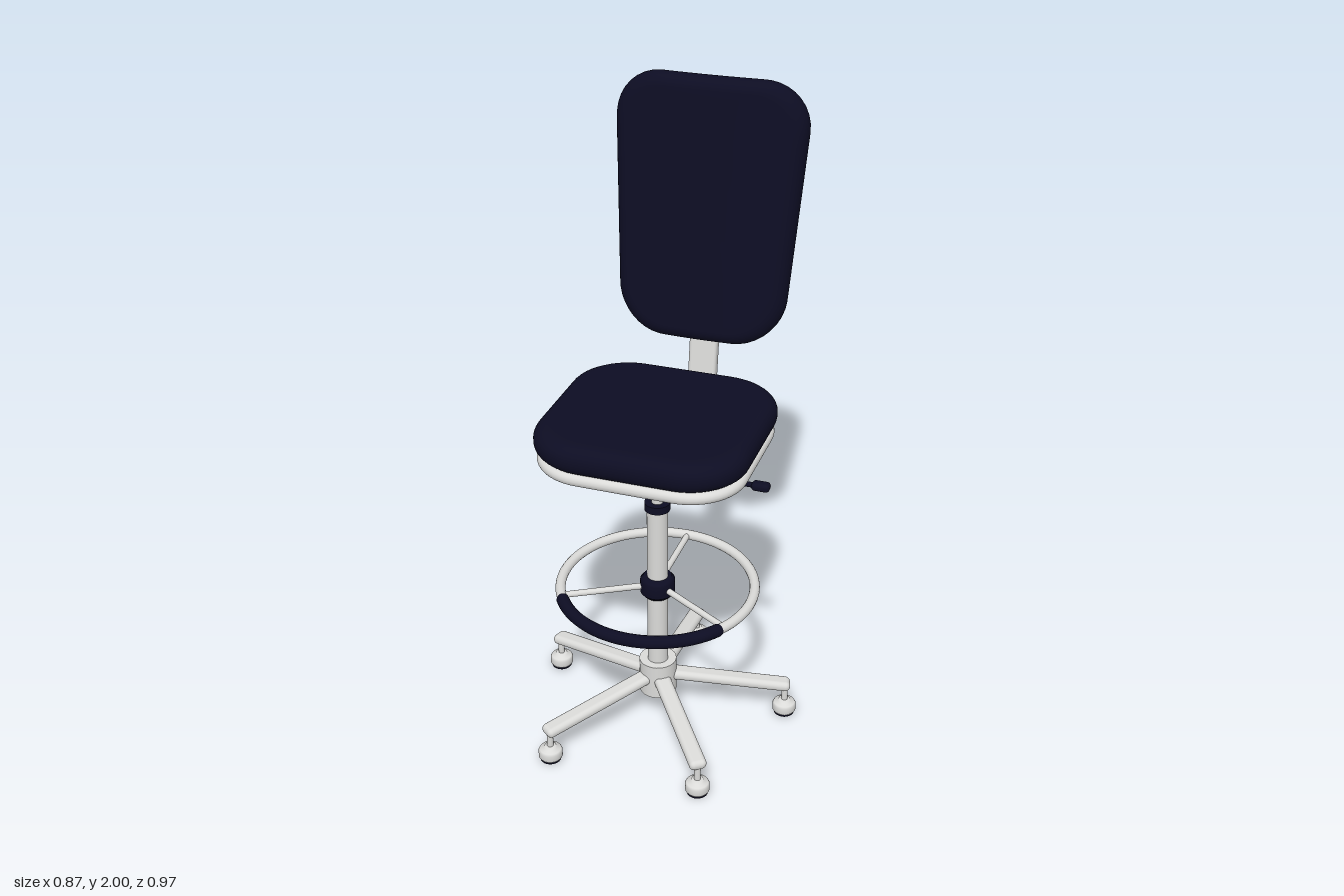
import * as THREE from 'three';
import { RoundedBoxGeometry } from 'three/addons/geometries/RoundedBoxGeometry.js';

const shellMat = new THREE.MeshStandardMaterial({ color: 0xdadad8 });
shellMat.name = 'light grey';
const navyMat = new THREE.MeshStandardMaterial({ color: 0x0d0d23 });
navyMat.name = 'dark navy';

const AXIS_Z = 0.12; // the column stands slightly forward of centre
const TILT = 0.133;  // backrest lean

function add(parent, name, geometry, material, x = 0, y = 0, z = 0) {
  const mesh = new THREE.Mesh(geometry, material);
  mesh.name = name;
  mesh.position.set(x, y, z);
  parent.add(mesh);
  return mesh;
}

// Turned part from [radius, y] pairs, bottom to top, with crisp edges
function turned(pairs) {
  const pts = pairs.map(([r, y]) => new THREE.Vector2(r, y));
  return new THREE.LatheGeometry(pts, 32);
}

// Closed outline of a trapezoid with rounded corners, counter-clockwise
function outline(topHalf, bottomHalf, halfHeight, radius) {
  const corners = [[bottomHalf, -halfHeight], [topHalf, halfHeight], [-topHalf, halfHeight], [-bottomHalf, -halfHeight]]
    .map(([x, y]) => new THREE.Vector2(x, y));
  const shape = new THREE.Shape();
  corners.forEach((c, i) => {
    const toward = (other, d) => other.clone().sub(c).setLength(d).add(c);
    const prev = corners[(i + 3) % 4], next = corners[(i + 1) % 4];
    const a = toward(prev, radius), b = toward(next, radius);
    const ca = toward(prev, radius * 0.45), cb = toward(next, radius * 0.45);
    if (i === 0) shape.moveTo(a.x, a.y); else shape.lineTo(a.x, a.y);
    shape.bezierCurveTo(ca.x, ca.y, cb.x, cb.y, b.x, b.y);
  });
  shape.closePath();
  return shape.getSpacedPoints(96).slice(0, -1);
}

// Padded slab: rings of the outline from the back centre, round the rim, to the front centre
function pad(points, thickness, bevel, bend = 0) {
  const hx = Math.max(...points.map(p => p.x)), hy = Math.max(...points.map(p => p.y));
  const rings = [], steps = 7, half = thickness / 2;
  const inner = [0, 0.2, 0.4, 0.6, 0.8, 0.95];
  inner.forEach(s => rings.push([s, bevel, -half]));
  for (let i = 0; i <= steps; i++) {
    const a = (i / steps) * Math.PI / 2;
    rings.push([1, bevel * (1 - Math.sin(a)), -half + bevel * (1 - Math.cos(a))]);
  }
  const front = rings.map(([s, d, h]) => [s, d, -h]).reverse();
  const all = rings.concat(front);
  const n = points.length, pos = [], index = [];
  all.forEach(([s, d, h], i) => points.forEach((p, j) => {
    const x = p.x * s * (1 - d / hx), y = p.y * s * (1 - d / hy);
    pos.push(x, y, h - bend * x * x);
    if (i === all.length - 1) return;
    const a = i * n + j, b = i * n + (j + 1) % n;
    index.push(a, b, b + n, a, b + n, a + n);
  }));
  const g = new THREE.BufferGeometry();
  g.setAttribute('position', new THREE.Float32BufferAttribute(pos, 3));
  g.setIndex(index);
  g.computeVertexNormals();
  return g;
}

function rod(radius, length) {
  return new THREE.CylinderGeometry(radius, radius, length, 24);
}

function makeBase() {
  const base = new THREE.Group();
  base.name = 'base';
  add(base, 'hub', rod(0.06, 0.12), shellMat, 0, 0.16, 0);
  const legGeo = new RoundedBoxGeometry(0.055, 0.034, 0.4, 4, 0.016);
  const stemGeo = rod(0.01, 0.07);
  const footGeo = turned([[0, 0.012], [0.034, 0.012], [0.038, 0.018], [0.038, 0.038], [0.034, 0.045], [0.02, 0.049], [0.018, 0.056], [0, 0.056]]);
  const glideGeo = turned([[0, 0], [0.027, 0], [0.033, 0.005], [0.034, 0.014], [0, 0.014]]);
  for (let i = 0; i < 5; i++) {
    const spoke = new THREE.Group();
    spoke.name = 'leg' + (i + 1);
    spoke.rotation.y = (36 + 72 * i) * Math.PI / 180;
    add(spoke, 'legBar', legGeo, shellMat, 0, 0.138, 0.233).rotation.x = 0.125;
    add(spoke, 'footStem', stemGeo, shellMat, 0, 0.08, 0.415);
    add(spoke, 'foot', footGeo, shellMat, 0, 0, 0.415);
    add(spoke, 'footGlide', glideGeo, navyMat, 0, 0, 0.415);
    base.add(spoke);
  }
  return base;
}

function makeFootRing() {
  const ring = new THREE.Group();
  ring.name = 'footRing';
  const R = 0.306, start = 35 * Math.PI / 180, arc = 110 * Math.PI / 180;
  add(ring, 'ring', new THREE.TorusGeometry(R, 0.016, 14, 72).rotateX(Math.PI / 2), shellMat);
  add(ring, 'ringGrip', new THREE.TorusGeometry(R, 0.02, 14, 40, arc).rotateZ(start).rotateX(Math.PI / 2), navyMat);
  for (const a of [start, start + arc]) {
    add(ring, 'gripEnd', new THREE.SphereGeometry(0.02, 14, 10), navyMat, R * Math.cos(a), 0, R * Math.sin(a));
  }
  for (const deg of [60, 180, 300]) {
    const arm = new THREE.Group();
    arm.name = 'ringSpoke';
    arm.rotation.y = deg * Math.PI / 180;
    add(arm, 'spokeBar', rod(0.01, 0.28).rotateX(Math.PI / 2), shellMat, 0, 0, 0.165);
    ring.add(arm);
  }
  add(ring, 'collar', turned([[0, -0.034], [0.045, -0.034], [0.048, -0.026], [0.055, -0.022], [0.055, 0.022], [0.048, 0.026], [0.045, 0.034], [0, 0.034]]), navyMat);
  return ring;
}

export function createModel() {
  const chair = new THREE.Group();
  chair.name = 'workChair';

  // Star base, column and foot ring share one axis
  const stand = new THREE.Group();
  stand.name = 'stand';
  stand.position.z = AXIS_Z;
  stand.add(makeBase());
  add(stand, 'column', rod(0.033, 0.6), shellMat, 0, 0.49, 0);
  add(stand, 'columnCap', rod(0.04, 0.025), navyMat, 0, 0.797, 0);
  add(stand, 'liftRod', rod(0.018, 0.17), shellMat, 0, 0.88, 0);
  const ring = makeFootRing();
  ring.position.y = 0.505;
  stand.add(ring);
  chair.add(stand);

  // Seat, with its mechanism and lever
  const seat = new THREE.Group();
  seat.name = 'seat';
  add(seat, 'mechanism', new RoundedBoxGeometry(0.33, 0.055, 0.415, 4, 0.018), shellMat, 0, 0.977, 0.092);
  add(seat, 'seatShell', pad(outline(0.32, 0.32, 0.305, 0.17), 0.038, 0.018).rotateX(-Math.PI / 2), shellMat, 0, 1.018, 0.117);
  add(seat, 'seatCushion', pad(outline(0.327, 0.327, 0.313, 0.175), 0.092, 0.042).rotateX(-Math.PI / 2), navyMat, 0, 1.079, 0.117);
  add(seat, 'leverRod', rod(0.008, 0.2).rotateZ(Math.PI / 2), navyMat, 0.24, 0.976, 0.2);
  add(seat, 'leverHandle', new RoundedBoxGeometry(0.055, 0.026, 0.034, 3, 0.011), navyMat, 0.347, 0.976, 0.2);
  add(seat, 'backArm', new RoundedBoxGeometry(0.094, 0.036, 0.25, 3, 0.012), shellMat, 0, 0.979, -0.215);
  add(seat, 'armJoint', rod(0.024, 0.096).rotateZ(Math.PI / 2), shellMat, 0, 0.976, -0.326);
  chair.add(seat);

  // Backrest, leaning back and bowed forward in the middle
  const back = new THREE.Group();
  back.name = 'backrest';
  back.position.set(0, 1.59, -0.331);
  back.rotation.x = -TILT;
  add(back, 'backCushion', pad(outline(0.311, 0.262, 0.41, 0.15), 0.092, 0.04, 0.35), navyMat);
  add(back, 'backShell', pad(outline(0.295, 0.25, 0.4, 0.145), 0.038, 0.018, 0.35), shellMat, 0, 0, -0.062);
  add(back, 'backPost', new RoundedBoxGeometry(0.092, 0.26, 0.04, 3, 0.012), shellMat, 0, -0.492, -0.072);
  chair.add(back);

  return chair;
}
